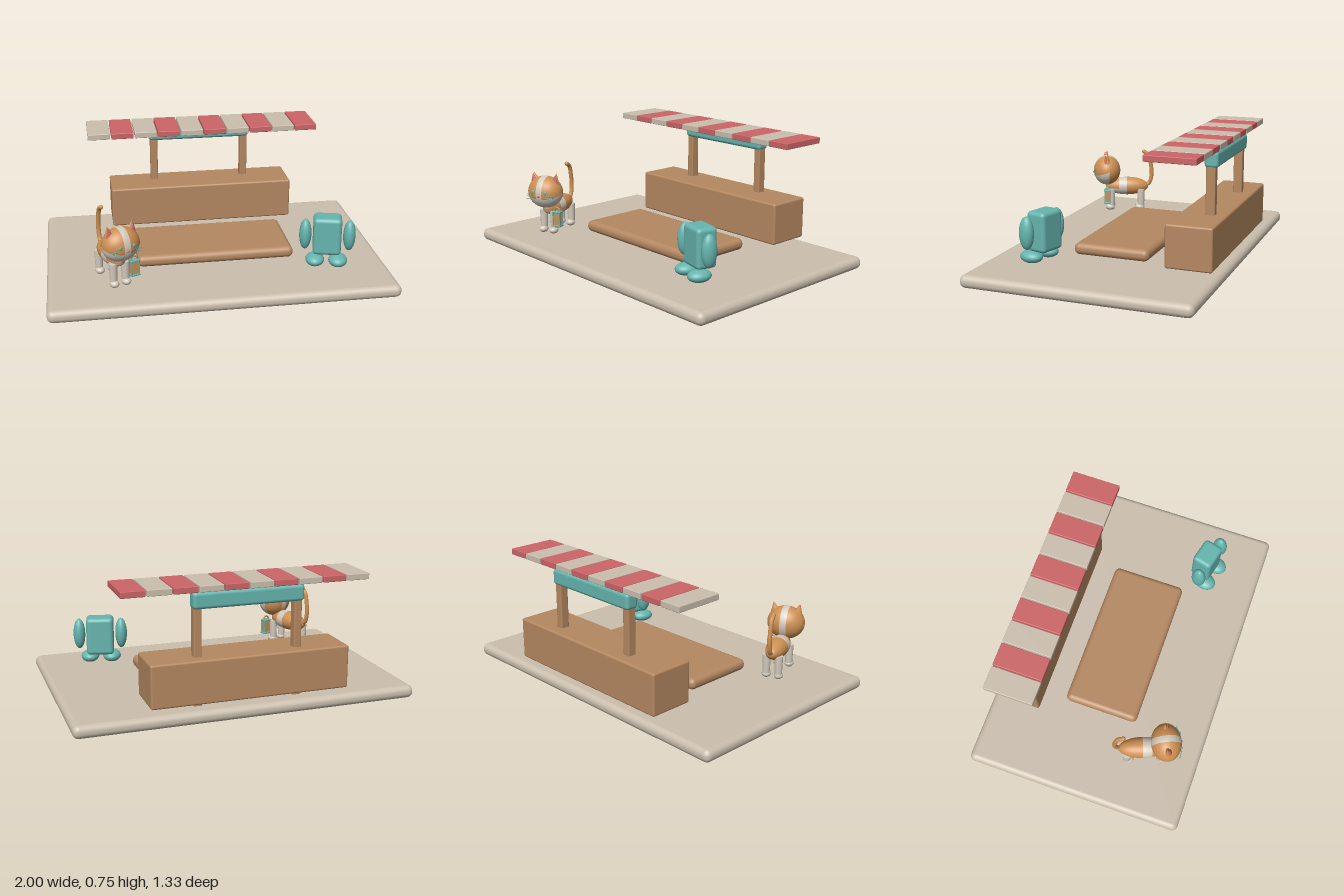
import * as THREE from 'three';
import { RoundedBoxGeometry } from 'three/addons/geometries/RoundedBoxGeometry.js';

const mat = (name, color) => new THREE.MeshStandardMaterial({ name, color });

export function createModel() {
  const stone = mat('stone', 0xcbbfae), wood = mat('wood', 0xb58861), teal = mat('teal', 0x66b5af);
  const coral = mat('coral', 0xcc6567), orange = mat('orange', 0xcd9052), cream = mat('cream', 0xd3cabd);
  const root = new THREE.Group();
  root.name = 'marketStall';

  const add = (parent, name, geo, material, x = 0, y = 0, z = 0) => {
    const m = new THREE.Mesh(geo, material);
    m.name = name;
    m.position.set(x, y, z);
    parent.add(m);
    return m;
  };
  const box = (parent, name, material, w, h, d, r, x, y, z) =>
    add(parent, name, new RoundedBoxGeometry(w, h, d, 4, r), material, x, y, z);
  const ball = (parent, name, material, rx, ry, rz, x, y, z) =>
    add(parent, name, new THREE.SphereGeometry(1, 28, 18).scale(rx, ry, rz), material, x, y, z);
  const group = (name, x, y, z, turn) => {
    const g = new THREE.Group();
    g.name = name;
    g.position.set(x, y, z);
    g.rotation.y = turn;
    root.add(g);
    return g;
  };
  // Splits the faces into two material groups; test(centre) picks the second one
  const paint = (geo, test) => {
    const p = geo.attributes.position, idx = geo.index.array, sets = [[], []];
    for (let i = 0; i < idx.length; i += 3) {
      const c = new THREE.Vector3();
      for (let k = 0; k < 3; k++) c.add(new THREE.Vector3().fromBufferAttribute(p, idx[i + k]));
      sets[test(c.divideScalar(3)) ? 1 : 0].push(idx[i], idx[i + 1], idx[i + 2]);
    }
    geo.setIndex([...sets[0], ...sets[1]]);
    geo.addGroup(0, sets[0].length, 0);
    geo.addGroup(sets[0].length, sets[1].length, 1);
    return geo;
  };

  // Base, low platform and counter
  box(root, 'base', stone, 2, 0.075, 1.33, 0.035, 0, 0.0375, 0);
  box(root, 'platform', wood, 0.935, 0.07, 0.456, 0.032, -0.002, 0.12, -0.002);
  box(root, 'counter', wood, 1.155, 0.25, 0.27, 0.012, -0.002, 0.23, -0.5);

  // Posts, beam and striped awning
  for (const s of [-1, 1]) box(root, 'post', wood, 0.046, 0.58, 0.055, 0.008, s * 0.292, 0.355, -0.541);
  box(root, 'beam', teal, 0.645, 0.095, 0.08, 0.02, -0.002, 0.668, -0.543);
  for (let i = 0; i < 10; i++)
    box(root, 'awningSlat', i % 2 ? coral : stone, 0.136, 0.036, 0.293, 0.004, (i - 4.5) * 0.1437, 0.733, -0.438);

  // Headless blocky helper
  const helper = group('helper', 0.64, 0, 0.315, -0.25);
  box(helper, 'helperBody', teal, 0.165, 0.23, 0.125, 0.024, 0, 0.272, 0);
  for (const s of [-1, 1]) {
    ball(helper, 'helperArm', teal, 0.036, 0.094, 0.045, s * 0.128, 0.277, 0.02);
    ball(helper, 'helperFoot', teal, 0.055, 0.036, 0.07, s * 0.067, 0.127, 0.042);
  }

  // Cat body with a pale band and belly
  const cat = group('cat', -0.625, 0, 0.33, 0.37);
  const bodyGeo = paint(new THREE.SphereGeometry(1, 32, 32).rotateX(Math.PI / 2),
    c => (c.z > 0 && c.z < 0.4) || (c.z > 0 && c.y < -0.15)).scale(0.062, 0.06, 0.145);
  add(cat, 'catBody', bodyGeo, [orange, cream], 0, 0.25, -0.005);
  for (const sx of [-1, 1]) for (const sz of [-1, 1]) {
    add(cat, 'catLeg', new THREE.CylinderGeometry(0.025, 0.021, 0.13, 18), cream, sx * 0.037, 0.17, sz * 0.1);
    ball(cat, 'catPaw', cream, 0.027, 0.022, 0.032, sx * 0.037, 0.112, sz * 0.1 + 0.008);
  }
  const tailPath = new THREE.CatmullRomCurve3([[0.25, -0.12], [0.27, -0.155], [0.33, -0.172],
    [0.41, -0.165], [0.465, -0.15], [0.487, -0.12]].map(([y, z]) => new THREE.Vector3(0, y, z)));
  add(cat, 'catTail', new THREE.TubeGeometry(tailPath, 32, 0.013, 12), orange);
  ball(cat, 'tailTip', orange, 0.013, 0.013, 0.013, 0, 0.487, -0.12);

  // Head: pale blaze and muzzle on an orange ellipsoid
  const head = new THREE.Group();
  head.name = 'catHead';
  head.position.set(0, 0.36, 0.13);
  head.rotation.y = 0.06;
  cat.add(head);
  const headGeo = paint(new THREE.SphereGeometry(1, 40, 36).rotateZ(-Math.PI / 2),
    c => Math.abs(c.x) < 0.17 || (c.y < -0.3 * c.z && c.z > -0.15)).scale(0.112, 0.1, 0.09);
  add(head, 'headShell', headGeo, [orange, cream]);
  ball(head, 'nose', coral, 0.009, 0.006, 0.006, 0, -0.012, 0.089);
  for (const s of [-1, 1]) {
    const ear = add(head, 'ear', new THREE.ConeGeometry(0.033, 0.07, 20).scale(1, 1, 0.6), orange, s * 0.072, 0.088, -0.002);
    const inner = add(head, 'innerEar', new THREE.ConeGeometry(0.025, 0.056, 20).scale(1, 1, 0.5), coral, s * 0.074, 0.086, 0.011);
    ear.rotation.z = inner.rotation.z = -s * 0.2;
    ball(head, 'eye', teal, 0.01, 0.012, 0.005, s * 0.042, 0.012, 0.083);
    for (const k of [-1, 0, 1]) {
      const whisker = add(head, 'whisker', new THREE.CylinderGeometry(0.0016, 0.0016, 0.05, 6), teal,
        s * 0.072, -0.018 + k * 0.012, 0.077);
      whisker.rotation.set(0, s * 0.35, Math.PI / 2 + s * k * 0.2);
    }
  }

  // Lantern carried beside the front leg
  const lantern = new THREE.Group();
  lantern.name = 'lantern';
  lantern.position.set(0.08, 0.195, 0.127);
  cat.add(lantern);
  box(lantern, 'lanternCore', orange, 0.042, 0.085, 0.03, 0.003, 0, 0, 0);
  for (const s of [-1, 1]) {
    box(lantern, 'lanternPlate', teal, 0.056, 0.011, 0.042, 0.003, 0, s * 0.043, 0);
    for (const t of [-1, 1]) box(lantern, 'lanternPost', teal, 0.008, 0.085, 0.008, 0.002, s * 0.023, 0, t * 0.016);
  }
  add(lantern, 'lanternHandle', new THREE.TorusGeometry(0.021, 0.005, 10, 24, Math.PI), orange, 0, 0.048, 0);

  return root;
}
